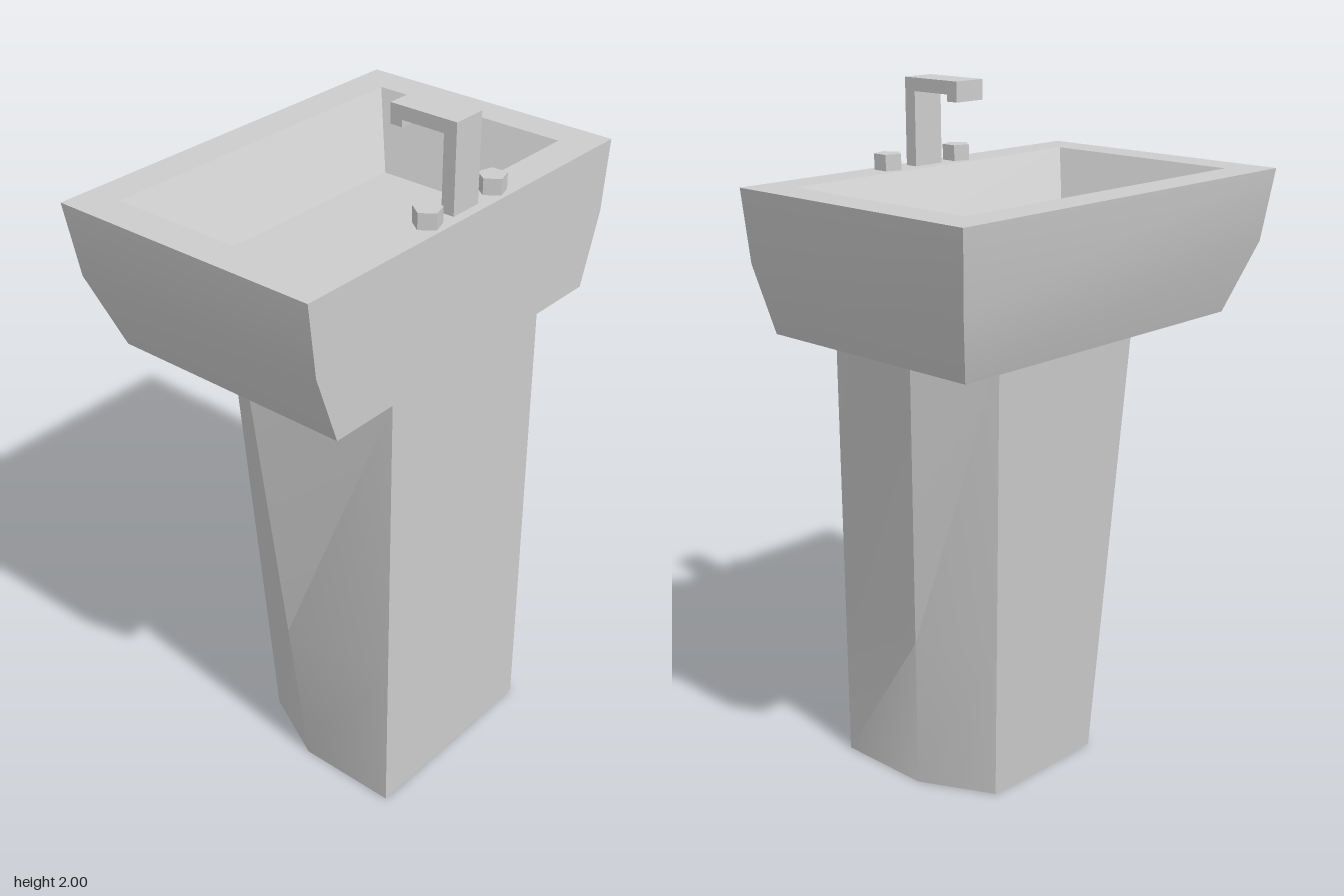
import * as THREE from 'three';
import { toCreasedNormals } from 'three/addons/utils/BufferGeometryUtils.js';

const CREASE = 0.6;

// Skin a stack of equal-length rings and close both ends.
function loft(rings) {
  const n = rings[0].length;
  const index = [];
  for (let r = 0; r < rings.length - 1; r++) {
    for (let i = 0; i < n; i++) {
      const j = (i + 1) % n;
      const a = r * n + i, b = r * n + j;
      index.push(a, b, b + n, a, b + n, a + n);
    }
  }
  const last = (rings.length - 1) * n;
  for (let i = 1; i < n - 1; i++) {
    index.push(0, i + 1, i, last, last + i, last + i + 1);
  }
  const geometry = new THREE.BufferGeometry();
  geometry.setAttribute('position', new THREE.Float32BufferAttribute(rings.flat(2), 3));
  geometry.setIndex(index);
  return toCreasedNormals(geometry, CREASE);
}

const rectRing = (y, x0, x1, z) => [[x0, y, z], [x1, y, z], [x1, y, -z], [x0, y, -z]];

// Six-sided pedestal section: t = 0 at the floor, 1 under the basin.
function pedestalRing(y) {
  const t = y / 1.345;
  const frontX = -0.105 - 0.085 * t, frontZ = 0.205 + 0.065 * t;
  const sideX = 0.11 - 0.11 * t, sideZ = 0.31 + 0.1 * t;
  const half = [[frontX, frontZ], [sideX, sideZ], [0.41, 0.31]];
  const mirrored = half.map(([x, z]) => [x, -z]).reverse();
  return [...half, ...mirrored].map(([x, z]) => [x, y, z]);
}

export function createModel() {
  const model = new THREE.Group();
  model.name = 'pedestalSink';
  const ceramic = new THREE.MeshStandardMaterial({ color: 0xcccccc });
  ceramic.name = 'light grey ceramic';

  const add = (name, geometry) => {
    const mesh = new THREE.Mesh(geometry, ceramic);
    mesh.name = name;
    model.add(mesh);
    return mesh;
  };

  // Basin: curved outer wall, flat rim, sloping bowl and bowl floor
  add('basin', loft([
    rectRing(1.345, -0.315, 0.41, 0.52),
    rectRing(1.55, -0.385, 0.41, 0.593),
    rectRing(1.755, -0.412, 0.41, 0.618),
    rectRing(1.755, -0.31, 0.308, 0.515),
    rectRing(1.55, -0.208, 0.206, 0.413),
  ]));

  // Tapered pedestal
  add('pedestal', loft([0, 0.47, 1.345].map(pedestalRing)));

  // Square-section faucet
  const profile = new THREE.Shape([
    [0.345, 1.755], [0.383, 1.755], [0.383, 2], [0.18, 2],
    [0.18, 1.944], [0.217, 1.944], [0.217, 1.963], [0.345, 1.963],
  ].map(([x, y]) => new THREE.Vector2(x, y)));
  const faucet = new THREE.ExtrudeGeometry(profile, { depth: 0.1, bevelEnabled: false });
  add('faucet', faucet.translate(0, 0, -0.05));

  // Five-sided tap knobs
  for (const [name, z] of [['leftTapKnob', 0.126], ['rightTapKnob', -0.139]]) {
    const knob = new THREE.CylinderGeometry(0.04, 0.04, 0.045, 5);
    add(name, toCreasedNormals(knob, CREASE)).position.set(0.361, 1.7775, z);
  }

  return model;
}
